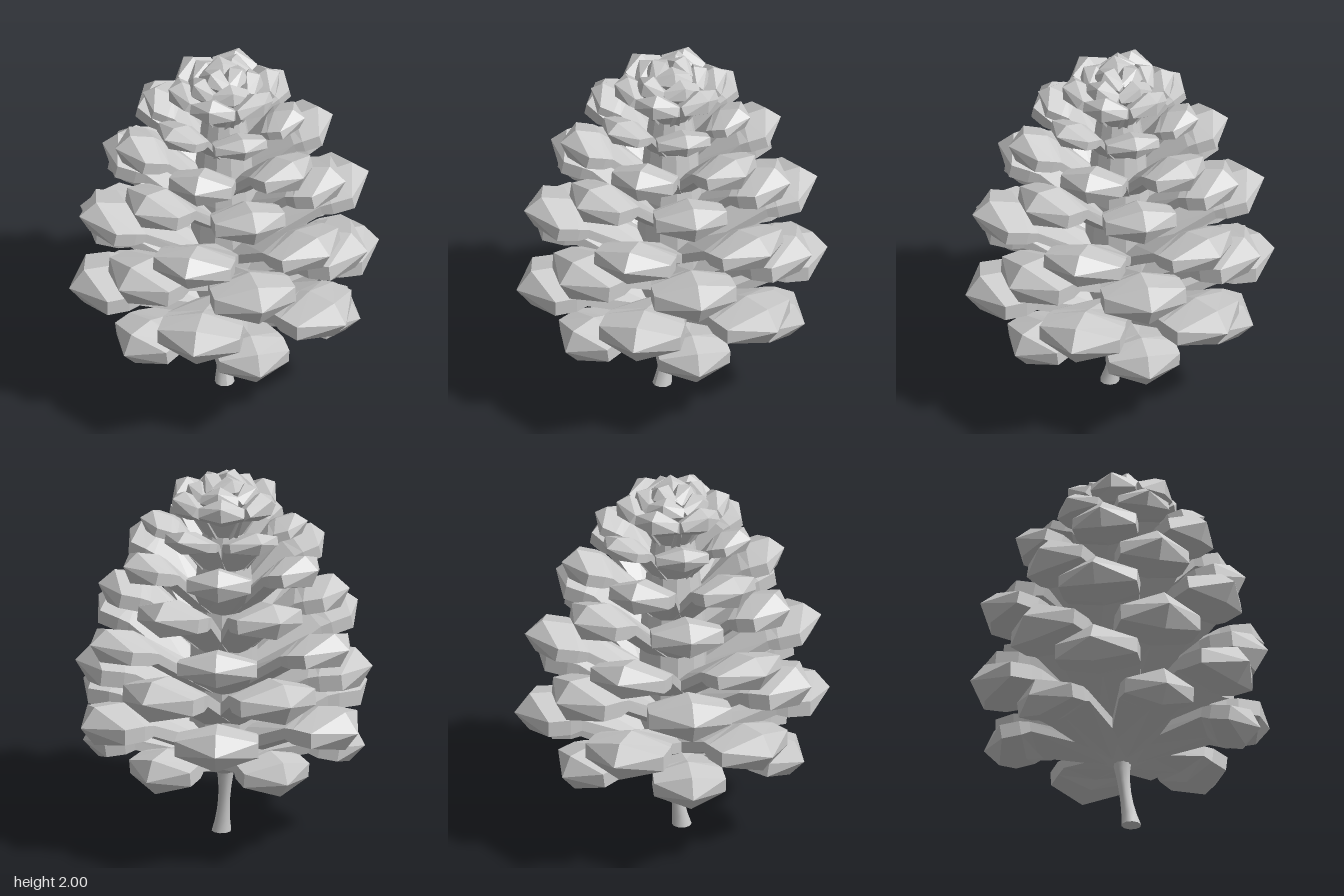
import * as THREE from 'three';

const material = new THREE.MeshStandardMaterial({ color: 0xcccccc, flatShading: true, side: THREE.DoubleSide });
const smooth = new THREE.MeshStandardMaterial({ color: 0xcccccc });

// Six-sided scale outline: [sideways, up], anticlockwise seen from the tip
const OUTLINE = [[0, 1], [-1, 0.35], [-1, -0.45], [0, -1], [1, -0.45], [1, 0.35]];

// One scale pointing along +z: deep root, broad fanning stalk, faceted head, pointed tip
function scaleGeometry({ tipR, tipY, w, h, tilt, rootR, drop }) {
  const s = w / 0.22;
  const c = Math.cos(tilt), n = Math.sin(tilt);
  // point in the tilted head frame, "back" is the distance behind the tip
  const at = (x, up, back) => new THREE.Vector3(x, tipY - back * n + up * c, tipR - back * c - up * n);
  const loop = (kw, kh, backMid, backSide) =>
    OUTLINE.map(([x, u]) => at(x * w * kw, u * h * kh, (x ? backSide : backMid) * s));

  const root = OUTLINE.map(([x, u]) => new THREE.Vector3(x * w * 0.55, tipY - drop + u * h * 0.8, rootR));
  const loops = [
    root,
    loop(0.9, 0.72, 0.32, 0.33),
    loop(0.97, 1, 0.25, 0.27),
    loop(1, 1, 0.08, 0.15),
  ];
  const tip = at(0, 0, 0);

  const pts = [];
  for (let k = 0; k < loops.length; k++) {
    const a = loops[k], b = loops[k + 1];
    for (let i = 0; i < 6; i++) {
      const j = (i + 1) % 6;
      if (b) pts.push(a[i], a[j], b[j], a[i], b[j], b[i]);
      else pts.push(a[i], a[j], tip);
    }
  }
  const g = new THREE.BufferGeometry().setFromPoints(pts);
  g.computeVertexNormals();
  return g;
}

// Rings of scales from bottom to top; yaw turns single scales a little
const RINGS = [
  { tipR: 0.74, tipY: 0.505, w: 0.19, h: 0.10, tilt: -0.15, rootR: 0.08, drop: 0.06 },
  { tipR: 0.84, tipY: 0.72, w: 0.22, h: 0.105, tilt: 0, rootR: 0.1, drop: 0.19, yaw: { 0: 0.08, 5: 0.07 } },
  { tipR: 0.78, tipY: 0.95, w: 0.22, h: 0.11, tilt: 0.1, rootR: 0.1, drop: 0.25 },
  { tipR: 0.785, tipY: 1.175, w: 0.21, h: 0.09, tilt: 0.2, rootR: 0.1, drop: 0.32 },
  { tipR: 0.66, tipY: 1.38, w: 0.19, h: 0.095, tilt: 0.2, rootR: 0.1, drop: 0.31 },
  { tipR: 0.59, tipY: 1.58, w: 0.17, h: 0.085, tilt: 0.25, rootR: 0.1, drop: 0.3 },
  { tipR: 0.44, tipY: 1.75, w: 0.14, h: 0.06, tilt: 0.3, rootR: 0.08, drop: 0.27 },
  { tipR: 0.30, tipY: 1.91, w: 0.12, h: 0.065, tilt: 0.55, rootR: 0.06, drop: 0.25 },
  { tipR: 0.19, tipY: 1.955, w: 0.10, h: 0.06, tilt: 0.8, rootR: 0.04, drop: 0.22, count: 5 },
  { tipR: 0.10, tipY: 2, w: 0.10, h: 0.06, tilt: 1.05, rootR: 0.03, drop: 0.22, count: 3 },
];

export function createModel() {
  const model = new THREE.Group();

  RINGS.forEach((ring, k) => {
    const group = new THREE.Group();
    group.name = `scaleRing${k + 1}`;
    const geometry = scaleGeometry(ring);
    const count = ring.count ?? 6;
    for (let i = 0; i < count; i++) {
      const scale = new THREE.Mesh(geometry, material);
      scale.name = 'scale';
      // alternate rings sit in the gaps of the ring below
      scale.rotation.y = ((i + (k % 2) / 2) / count) * Math.PI * 2 + (ring.yaw?.[i] ?? 0);
      group.add(scale);
    }
    model.add(group);
  });

  // Core that the scales grow from
  const profile = [[0, 0.34], [0.05, 0.35], [0.17, 0.42], [0.18, 0.6], [0.18, 0.9], [0.17, 1.2],
    [0.14, 1.5], [0.1, 1.75], [0.06, 1.88], [0, 1.9]].map(([x, y]) => new THREE.Vector2(x, y));
  const core = new THREE.Mesh(new THREE.LatheGeometry(profile, 12), material);
  core.name = 'core';
  model.add(core);

  // Stem: waisted in the middle and bent forward at its foot
  const stemGeometry = new THREE.CylinderGeometry(1, 1, 0.38, 10, 6);
  const p = stemGeometry.attributes.position;
  for (let i = 0; i < p.count; i++) {
    const y = p.getY(i) + 0.19;
    const t = y / 0.38;
    const r = 0.032 + 0.02 * (2 * t - 1) ** 2;
    p.setXYZ(i, p.getX(i) * r - 0.01, y, p.getZ(i) * r + 0.05 * (1 - t) ** 1.5);
  }
  stemGeometry.computeVertexNormals();
  const stem = new THREE.Mesh(stemGeometry, smooth);
  stem.name = 'stem';
  model.add(stem);

  return model;
}
